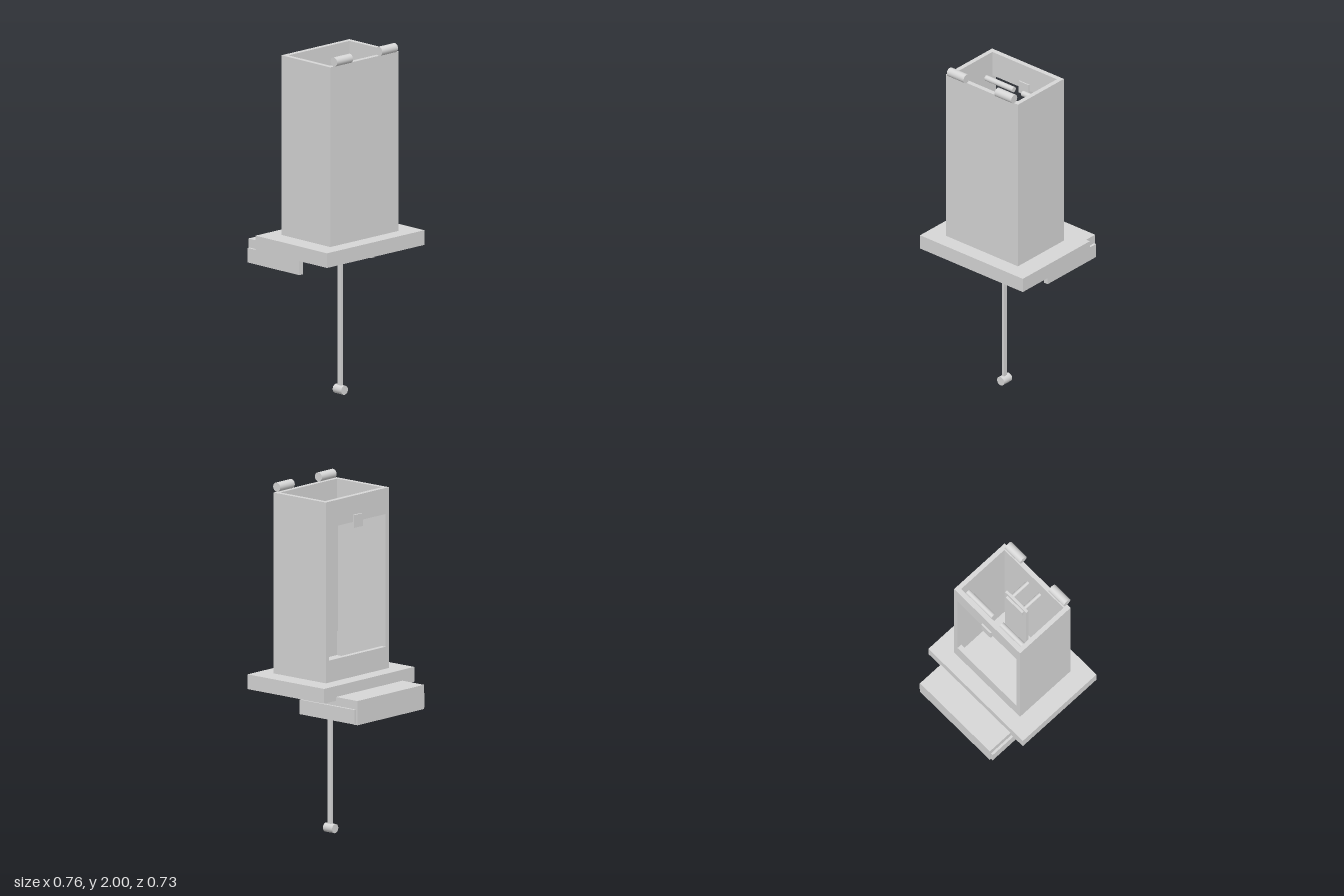
import * as THREE from 'three';

export function createModel() {
  const model = new THREE.Group();
  const grey = new THREE.MeshStandardMaterial({ color: 0xd6d6d6 });
  grey.name = 'light grey';

  const add = (name, geometry, parent = model) => {
    const mesh = new THREE.Mesh(geometry, grey);
    mesh.name = name;
    parent.add(mesh);
    return mesh;
  };
  // box given by its limits on each axis
  const box = (name, x0, x1, y0, y1, z0, z1, parent) => {
    const m = add(name, new THREE.BoxGeometry(x1 - x0, y1 - y0, z1 - z0), parent);
    m.position.set((x0 + x1) / 2, (y0 + y1) / 2, (z0 + z1) / 2);
  };
  // mirrored pair of boxes, given by the limits of the +x one
  const boxPair = (name, x0, x1, ...rest) => {
    box(name, x0, x1, ...rest);
    box(name, -x1, -x0, ...rest);
  };
  // round bar along x or z
  const bar = (name, axis, radius, length, x, y, z, parent) => {
    const g = new THREE.CylinderGeometry(radius, radius, length, 32);
    if (axis === 'x') g.rotateZ(Math.PI / 2);
    else g.rotateX(Math.PI / 2);
    add(name, g, parent).position.set(x, y, z);
  };
  const group = (name) => {
    const g = new THREE.Group();
    g.name = name;
    model.add(g);
    return g;
  };

  // Base slab
  box('base', -0.378, 0.378, 0.836, 0.92, -0.204, 0.363);

  // Open-topped tower, ring-shaped in plan
  const tower = group('tower');
  box('frontWall', -0.264, 0.264, 0.92, 1.948, 0.245, 0.273, tower);
  boxPair('sideWall', 0.237, 0.264, 0.92, 1.948, -0.116, 0.245, tower);
  // Back wall around its large opening
  box('backLintel', -0.237, 0.237, 1.8, 1.948, -0.116, -0.087, tower);
  box('backSill', -0.237, 0.237, 0.92, 1.045, -0.116, -0.087, tower);
  box('towerFloor', -0.237, 0.237, 0.92, 0.945, -0.087, 0.245, tower);
  box('catch', -0.037, 0.037, 1.767, 1.84, -0.125, -0.079, tower);

  // Top rollers and the crossbars inside the tower
  for (const s of [-1, 1]) {
    bar('topRoller', 'x', 0.026, 0.123, s * 0.175, 1.974, 0.273);
    bar('innerCrossbar', 'x', 0.016, 0.204, s * 0.135, 1.805, -0.035);
  }

  // Hanging inner panel carried by two rods from the front wall
  const panel = group('innerPanel');
  box('panelBoard', -0.085, 0.085, 1.127, 1.835, 0.104, 0.12, panel);
  box('panelRail', -0.065, 0.065, 1.775, 1.815, 0.09, 0.104, panel);
  for (const s of [-1, 1]) bar('panelRod', 'z', 0.011, 0.125, s * 0.048, 1.795, 0.1825, panel);

  // Rear ledge with its two side arms
  const ledge = group('rearLedge');
  box('ledgeTop', -0.279, 0.279, 0.815, 0.858, -0.363, -0.204, ledge);
  box('ledgeBack', -0.279, 0.279, 0.72, 0.815, -0.363, -0.336, ledge);
  box('ledgeTab', -0.07, 0.07, 0.806, 0.815, -0.225, -0.204, ledge);
  boxPair('sideArm', 0.279, 0.293, 0.725, 0.808, -0.354, 0.055, ledge);
  boxPair('armHanger', 0.265, 0.279, 0.725, 0.836, -0.204, 0.055, ledge);
  boxPair('armRear', 0.265, 0.279, 0.725, 0.815, -0.336, -0.204, ledge);

  // Pivot bracket below the base
  const pivot = group('pivot');
  box('pivotPlate', -0.1, 0.1, 0.816, 0.836, 0.055, 0.122, pivot);
  box('pivotLever', -0.055, 0.055, 0.795, 0.836, -0.045, 0.055, pivot);
  boxPair('pivotCheek', 0.04, 0.06, 0.79, 0.816, 0.055, 0.11, pivot);
  bar('pivotAxle', 'x', 0.022, 0.08, 0, 0.812, 0.083, pivot);
  box('pivotBlock', -0.045, 0.045, 0.765, 0.79, 0.06, 0.105, pivot);
  bar('pivotPin', 'z', 0.014, 0.045, 0.065, 0.774, 0.083, pivot);

  // Pendulum
  const pendulum = group('pendulum');
  box('pendulumRod', -0.008, 0.008, 0.03, 0.775, 0.07, 0.097, pendulum);
  bar('pendulumBob', 'z', 0.026, 0.068, 0, 0.026, 0.082, pendulum);

  return model;
}
